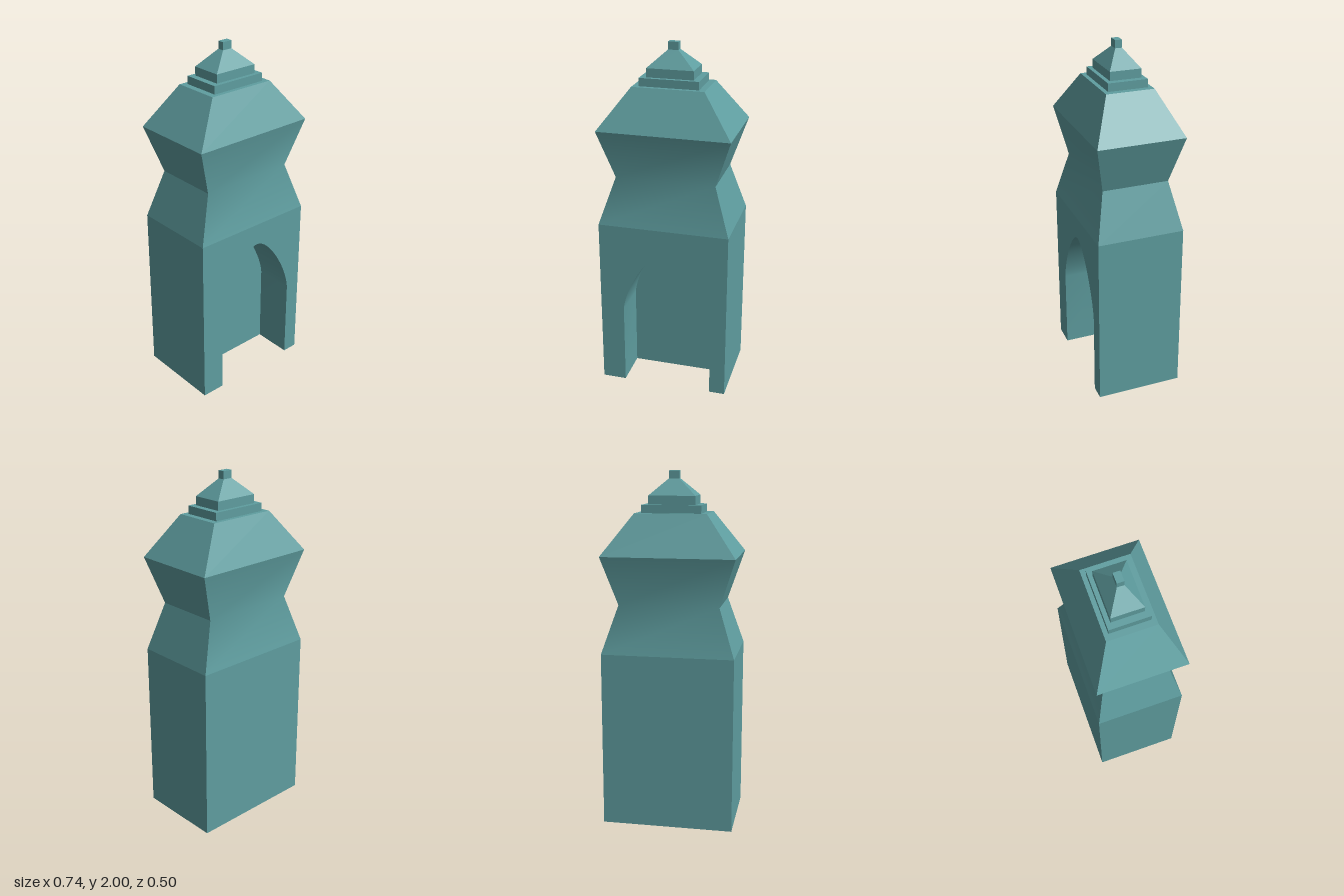
import * as THREE from 'three';
import { toCreasedNormals } from 'three/addons/utils/BufferGeometryUtils.js';

const HALF_W = 0.372, HALF_D = 0.248, NICHE_BACK = 0.022, BODY_TOP = 1.0;

// Stacked rectangular rings: each level is [y, halfWidth, halfDepth], evenly indexed bottom to top
function rectLoft(levels) {
  const n = levels.length - 1;
  const geometry = new THREE.BoxGeometry(2, n, 2, 1, n, 1);
  const pos = geometry.attributes.position;
  for (let i = 0; i < pos.count; i++) {
    const [y, w, d] = levels[Math.round(pos.getY(i) + n / 2)];
    pos.setXYZ(i, pos.getX(i) * w, y, pos.getZ(i) * d);
  }
  // Gentle bends blend, sharper ones stay crisp
  return toCreasedNormals(geometry, Math.PI / 6);
}

export function createModel() {
  const group = new THREE.Group();
  group.name = 'tower';
  const material = new THREE.MeshStandardMaterial({ color: 0x5f9ea0 });

  const add = (name, geometry) => {
    const mesh = new THREE.Mesh(geometry, material);
    mesh.name = name;
    group.add(mesh);
    return mesh;
  };

  // Front half of the body, cut by a slightly off-centre arched niche
  const left = -0.235, right = 0.282, mid = 0.024, spring = 0.48, peak = 0.875;
  const outline = new THREE.Shape();
  outline.moveTo(-HALF_W, 0);
  outline.lineTo(left, 0);
  outline.lineTo(left, spring);
  outline.bezierCurveTo(left + 0.012, 0.62, mid - 0.095, peak, mid, peak);
  outline.bezierCurveTo(mid + 0.095, peak, right - 0.012, 0.62, right, spring);
  outline.lineTo(right, 0);
  outline.lineTo(HALF_W, 0);
  outline.lineTo(HALF_W, BODY_TOP);
  outline.lineTo(-HALF_W, BODY_TOP);
  outline.closePath();
  const front = new THREE.ExtrudeGeometry(outline, {
    depth: HALF_D - NICHE_BACK, bevelEnabled: false, curveSegments: 20,
  });
  front.translate(0, 0, NICHE_BACK);
  add('archedFront', toCreasedNormals(front, Math.PI / 6));

  // Solid back half, whose front face closes the niche
  const backDepth = HALF_D + NICHE_BACK;
  const back = add('bodyBack', new THREE.BoxGeometry(HALF_W * 2, BODY_TOP, backDepth));
  back.position.set(0, BODY_TOP / 2, NICHE_BACK - backDepth / 2);

  // Pinched waist, sloping roof and stepped crown
  const tiers = {
    waist: [[BODY_TOP, HALF_W, HALF_D], [1.272, 0.282, 0.189], [1.543, HALF_W, HALF_D]],
    roof: [[1.543, HALF_W, HALF_D], [1.772, 0.201, 0.135]],
    lowerStep: [[1.772, 0.166, 0.111], [1.817, 0.166, 0.111]],
    upperStep: [[1.817, 0.131, 0.088], [1.866, 0.131, 0.088]],
    cap: [[1.866, 0.131, 0.088], [1.957, 0.029, 0.019]],
    finial: [[1.957, 0.029, 0.019], [2, 0.029, 0.019]],
  };
  for (const [name, levels] of Object.entries(tiers)) add(name, rectLoft(levels));

  return group;
}
